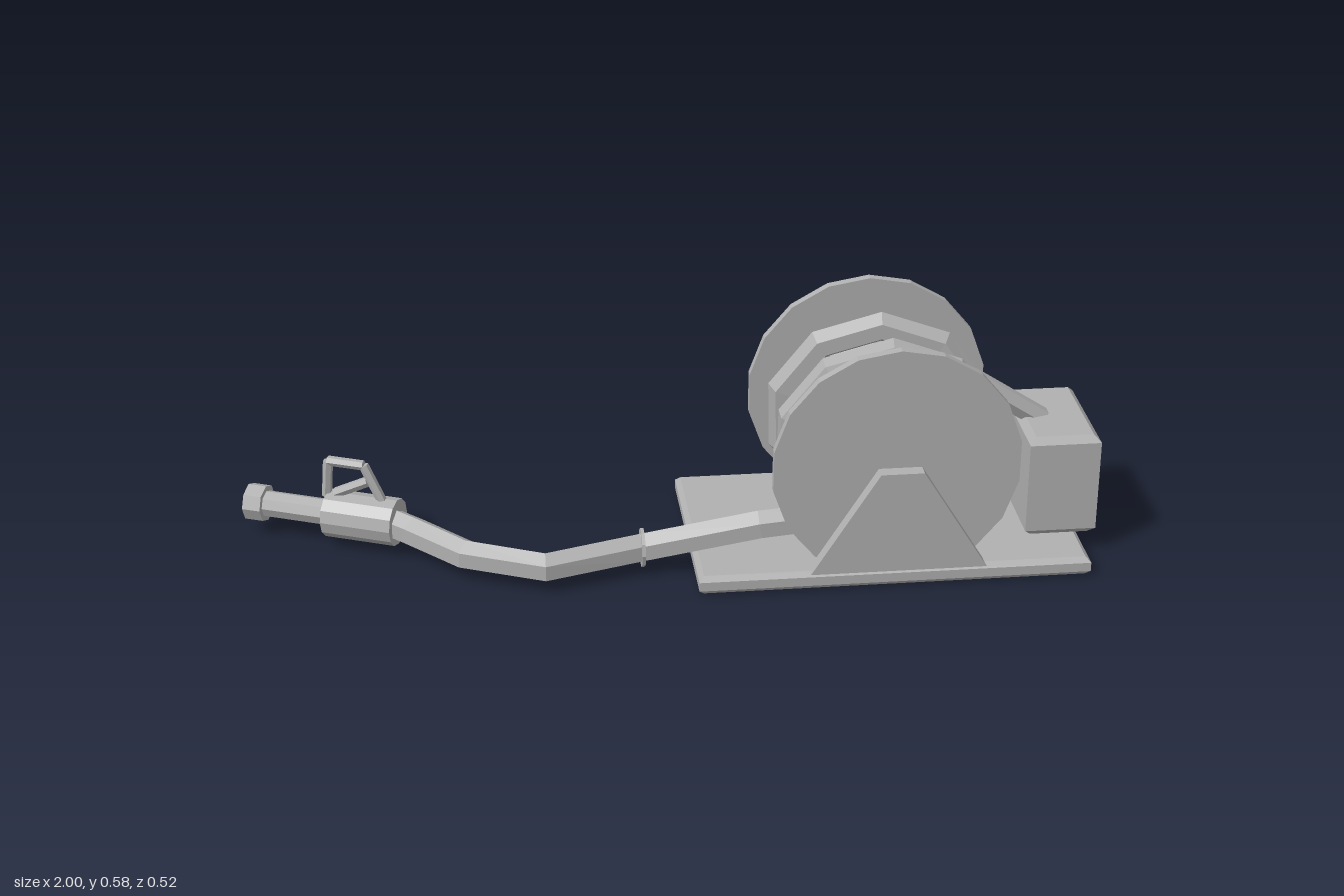
import * as THREE from 'three';

const V = (x, y, z) => new THREE.Vector3(x, y, z);
const grey = new THREE.MeshStandardMaterial({ color: 0xb0b0b0 });
grey.name = 'plain grey';
grey.flatShading = true;

// Curve that passes straight through its points, one tube segment per span
class Polyline extends THREE.Curve {
  constructor(points) {
    super();
    this.points = points;
  }
  getPointAt(t) {
    return this.points[Math.round(t * (this.points.length - 1))].clone();
  }
  getTangentAt(t) {
    const p = this.points, i = Math.round(t * (p.length - 1));
    const a = p[Math.max(i - 1, 0)], b = p[Math.min(i + 1, p.length - 1)];
    return b.clone().sub(a).normalize();
  }
}

function add(parent, name, geometry, x = 0, y = 0, z = 0) {
  const mesh = new THREE.Mesh(geometry, grey);
  mesh.name = name;
  mesh.position.set(x, y, z);
  parent.add(mesh);
  return mesh;
}

const tube = (points, r, sides = 6) =>
  new THREE.TubeGeometry(new Polyline(points), points.length - 1, r, sides);

// Straight capped bar between two points
function bar(parent, name, a, b, r, sides = 6) {
  const d = b.clone().sub(a);
  const mesh = add(parent, name, new THREE.CylinderGeometry(r, r, d.length(), sides));
  mesh.position.copy(a).add(b).multiplyScalar(0.5);
  mesh.quaternion.setFromUnitVectors(V(0, 1, 0), d.normalize());
  return mesh;
}

// Box with chamfered edges, built upright from y = 0
function chamferBox(w, h, d, c) {
  const x = w / 2 - c, z = d / 2 - c;
  const s = new THREE.Shape([[-x, -z], [x, -z], [x, z], [-x, z]].map(p => new THREE.Vector2(...p)));
  const g = new THREE.ExtrudeGeometry(s, {
    depth: h - 2 * c, bevelSize: c, bevelThickness: c, bevelSegments: 1,
  });
  return g.rotateX(-Math.PI / 2).translate(0, c, 0);
}

export function createModel() {
  const model = new THREE.Group();
  model.name = 'hoseReel';
  const cx = 0.505, cy = 0.288;

  add(model, 'basePlate', chamferBox(0.915, 0.046, 0.52, 0.012), 0.505, 0, 0);

  // Reel: drum, two flanges and their triangular stands
  const drum = new THREE.CylinderGeometry(0.091, 0.091, 0.41, 16).rotateX(Math.PI / 2);
  add(model, 'drum', drum, cx, cy, 0);
  const stand = new THREE.Shape([[-0.2, 0.04], [0.21, 0.04], [0.055, 0.289], [-0.045, 0.289]]
    .map(p => new THREE.Vector2(...p)));
  for (const s of [1, -1]) {
    const disc = new THREE.CylinderGeometry(0.289, 0.289, 0.022, 18).rotateX(Math.PI / 2);
    add(model, 'reelFlange', disc, cx, cy, s * 0.209);
    const g = new THREE.ExtrudeGeometry(stand, { depth: 0.033, bevelEnabled: false });
    add(model, 'stand', g, cx, 0, s > 0 ? 0.227 : -0.26);
  }
  add(model, 'axlePlate', new THREE.BoxGeometry(0.16, 0.068, 0.012), cx, 0.29, -0.222);

  // Hose: loose end on the ground, then wound round the drum
  const hose = [
    V(-0.645, 0.07, -0.04), V(-0.6, 0.065, -0.005), V(-0.48, 0.055, 0.105),
    V(-0.3, 0.053, 0.182), V(-0.07, 0.057, 0.118), V(0.2, 0.125, 0.16),
    V(0.4, 0.145, 0.165), V(0.53, 0.1, 0.168),
  ];
  for (let a = -54; a <= 1062; a += 36) {
    const shrink = THREE.MathUtils.clamp((a - 540) / 270, 0, 1);
    const r = 0.234 - 0.084 * shrink;
    const z = 0.152 - 0.00043 * Math.min(a, 540) - 0.00023 * Math.max(Math.min(a, 910) - 540, 0);
    const t = THREE.MathUtils.degToRad(a);
    hose.push(V(cx + r * Math.cos(t), cy + r * Math.sin(t), z));
  }
  add(model, 'hose', tube(hose, 0.037));
  add(model, 'hoseInnerEnd', tube([
    V(0.65, 0.26, -0.16), V(0.7, 0.31, -0.16), V(0.725, 0.36, -0.145),
    V(0.62, 0.41, 0.1), V(0.56, 0.37, 0.12)], 0.03));
  bar(model, 'hoseClamp', V(-0.074, 0.057, 0.118), V(-0.066, 0.057, 0.118), 0.046, 10);

  // Motor housing with its cap and feed pipe
  add(model, 'motorBox', chamferBox(0.168, 0.255, 0.288, 0.016), 0.915, 0.046, 0);
  bar(model, 'motorCap', V(0.91, 0.197, -0.13), V(0.91, 0.197, -0.177), 0.053, 8);
  bar(model, 'feedPipe', V(0.69, 0.415, 0), V(0.89, 0.285, 0), 0.027);

  // Nozzle, built along local +x and turned to follow the hose end
  const nozzle = new THREE.Group();
  nozzle.name = 'nozzle';
  nozzle.position.set(-0.633, 0.073, -0.037);
  nozzle.rotation.y = Math.PI - 0.395;
  model.add(nozzle);
  bar(nozzle, 'valveBody', V(0, 0, 0), V(0.175, 0, 0), 0.057, 12);
  bar(nozzle, 'barrel', V(0.16, 0, 0), V(0.36, 0, 0), 0.032, 8);
  bar(nozzle, 'nozzleTip', V(0.335, 0, 0), V(0.38, 0, 0), 0.045, 8);

  // Looped handle above the valve, with the trigger inside
  const loop = [V(0.178, 0.045, 0), V(0.17, 0.138, 0), V(0.08, 0.138, 0), V(0.035, 0.045, 0)];
  for (let i = 0; i < 3; i++) bar(nozzle, 'handle', loop[i], loop[i + 1], 0.012, 6);
  bar(nozzle, 'trigger', V(0.155, 0.055, 0), V(0.07, 0.098, 0), 0.013, 6);
  return model;
}
